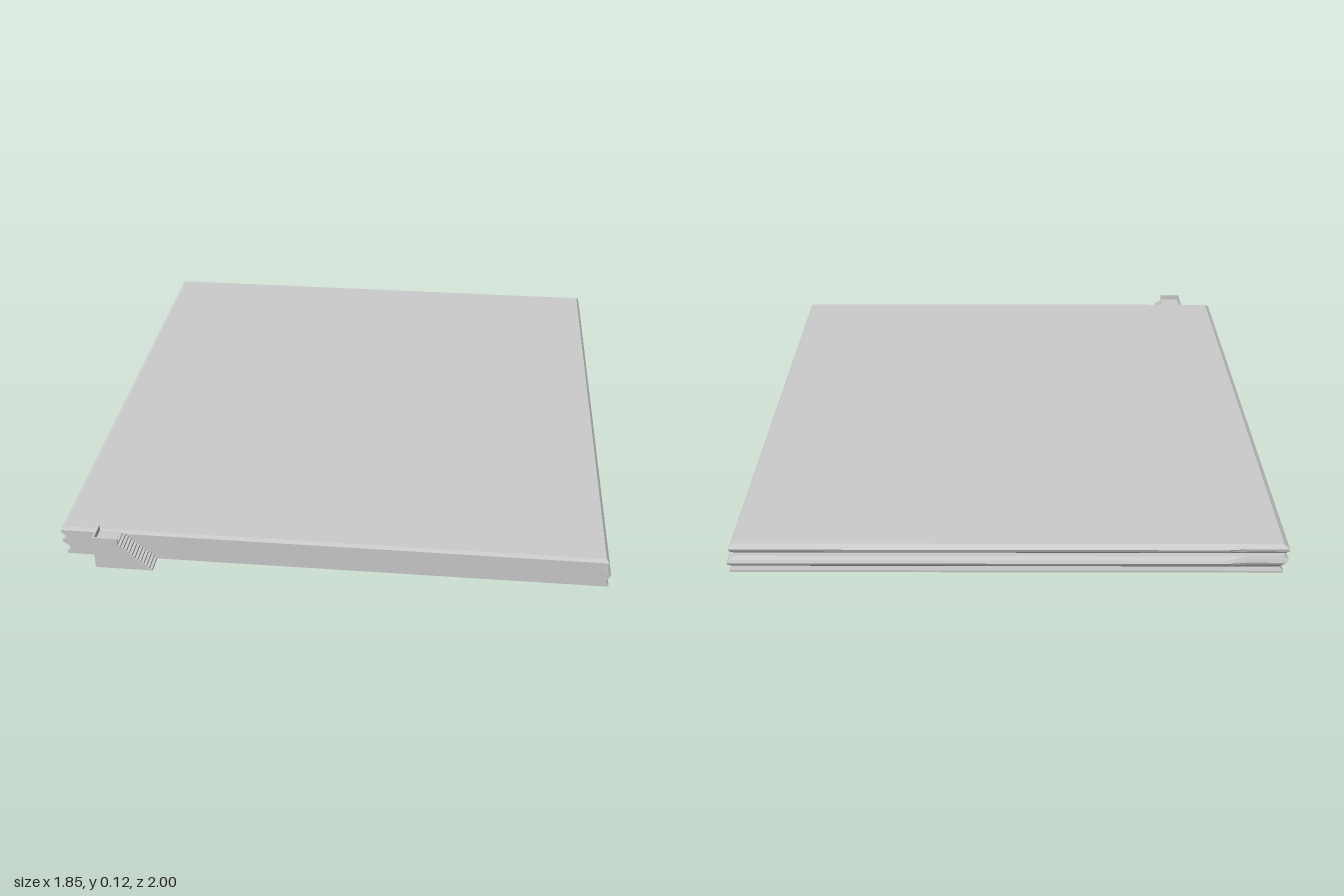
import * as THREE from 'three';

const grey = () => new THREE.MeshStandardMaterial({ color: 0xcccccc, flatShading: true });

// Platform levels: height, left x, right x, back z, front z, setback of the back-left corner
const LEVELS = [
  [0.0, -0.91, 0.92, -0.985, 0.935, 0],
  [0.008, -0.912, 0.92, -0.985, 0.935, 0],
  [0.022, -0.897, 0.908, -0.98, 0.935, 0],
  [0.036, -0.907, 0.92, -0.995, 0.935, 0.006],
  [0.046, -0.92, 0.925, -1.0, 0.935, 0.008],
  [0.056, -0.925, 0.915, -0.995, 0.935, 0.006],
  [0.066, -0.908, 0.897, -0.985, 0.935, 0],
  [0.076, -0.91, 0.9, -0.98, 0.935, 0],
  [0.086, -0.924, 0.912, -0.99, 0.935, 0.004],
  [0.097, -0.925, 0.914, -0.994, 0.935, 0.006],
  [0.108, -0.908, 0.905, -0.975, 0.927, 0],
];

// Stacks the level outlines into a closed solid with rippled edges
function platformGeometry() {
  const rings = LEVELS.map(([y, l, r, b, f, s]) => [
    [l, y, f], [r, y, f], [r, y, b], [-0.72, y, b], [-0.79, y, b + s], [l, y, b + s],
  ]);
  const n = rings[0].length;
  const pos = [];
  const tri = (...p) => p.forEach((v) => pos.push(...v));
  for (let k = 0; k < rings.length - 1; k++) {
    for (let i = 0; i < n; i++) {
      const j = (i + 1) % n;
      const [lo, hi] = [rings[k], rings[k + 1]];
      tri(lo[i], lo[j], hi[j]);
      tri(lo[i], hi[j], hi[i]);
    }
  }
  const bottom = rings[0], top = rings[rings.length - 1];
  for (let i = 1; i < n - 1; i++) {
    tri(top[0], top[i], top[i + 1]);
    tri(bottom[0], bottom[i + 1], bottom[i]);
  }
  const geo = new THREE.BufferGeometry();
  geo.setAttribute('position', new THREE.Float32BufferAttribute(pos, 3));
  geo.computeVertexNormals();
  return geo;
}

// Box given by its minimum and maximum corners
function box(name, x0, x1, y0, y1, z0, z1) {
  const mesh = new THREE.Mesh(new THREE.BoxGeometry(x1 - x0, y1 - y0, z1 - z0), grey());
  mesh.position.set((x0 + x1) / 2, (y0 + y1) / 2, (z0 + z1) / 2);
  mesh.name = name;
  return mesh;
}

// Flight of steps rising toward the landing, extruded from its side outline
function stairs(x0, x1, height, z0, z1, count) {
  const shape = new THREE.Shape();
  shape.moveTo(x0, 0);
  shape.lineTo(x1, 0);
  const run = (x1 - x0) / count, rise = height / count;
  for (let i = 0; i < count; i++) {
    shape.lineTo(x1 - i * run, (i + 1) * rise);
    shape.lineTo(x1 - (i + 1) * run, (i + 1) * rise);
  }
  shape.closePath();
  const geo = new THREE.ExtrudeGeometry(shape, { depth: z1 - z0, bevelEnabled: false });
  const mesh = new THREE.Mesh(geo, grey());
  mesh.position.z = z0;
  mesh.name = 'steps';
  return mesh;
}

export function createModel() {
  const model = new THREE.Group();
  model.name = 'platform';

  const slab = new THREE.Mesh(platformGeometry(), grey());
  slab.name = 'slab';
  model.add(slab);

  // Staircase with a landing and a low parapet on two sides
  const staircase = new THREE.Group();
  staircase.name = 'staircase';
  staircase.add(
    box('landing', -0.795, -0.71, 0, 0.104, 0.934, 1),
    box('frontParapet', -0.795, -0.71, 0.104, 0.124, 0.994, 1),
    box('sideParapet', -0.795, -0.789, 0.104, 0.124, 0.93, 0.994),
    stairs(-0.71, -0.6, 0.098, 0.934, 1, 12),
  );
  model.add(staircase);
  return model;
}
